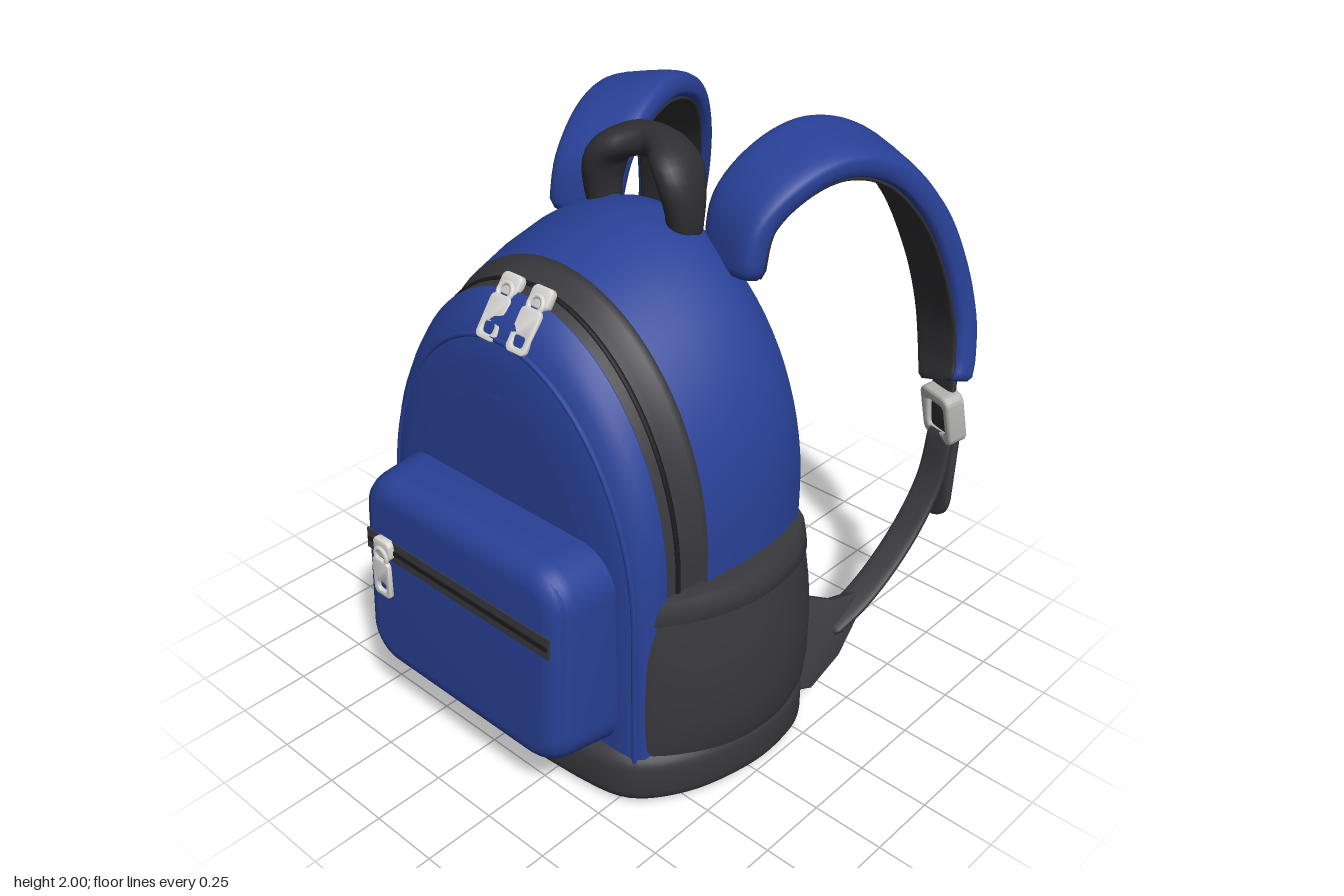
import * as THREE from 'three';
import { mergeVertices, toCreasedNormals } from 'three/addons/utils/BufferGeometryUtils.js';

const material = (name, color) =>
  Object.assign(new THREE.MeshStandardMaterial({ color, side: THREE.DoubleSide }), { name });
const V = (x, y, z) => new THREE.Vector3(x, y, z);

// Skin through rows of points
function skin(rows) {
  const n = rows[0].length, index = [];
  for (let i = 0; i < rows.length - 1; i++)
    for (let j = 0; j < n - 1; j++) {
      const a = i * n + j, c = a + n;
      index.push(a, a + 1, c, a + 1, c + 1, c);
    }
  const g = new THREE.BufferGeometry().setFromPoints(rows.flat());
  g.setIndex(index);
  const merged = mergeVertices(g, 1e-5);
  merged.computeVertexNormals();
  return merged;
}

// Padded band along a path; half width may vary with t, offset moves it along its normal
function band(points, width, thick, { offset = 0, steps = 40, axis = V(1, 0, 0), power = 0.6 } = {}) {
  const path = new THREE.CatmullRomCurve3(points), rows = [];
  const ring = (t, s) => {
    const c = path.getPoint(t), T = path.getTangent(t);
    const side = axis.clone().addScaledVector(T, -axis.dot(T)).normalize();
    const normal = T.clone().cross(side);
    const w = typeof width === 'function' ? width(t) : width;
    const row = [];
    for (let k = 0; k <= 24; k++) {
      const a = (k % 24) / 24 * Math.PI * 2, cs = Math.cos(a), sn = Math.sin(a);
      row.push(c.clone()
        .addScaledVector(side, Math.sign(cs) * Math.abs(cs) ** power * w * s)
        .addScaledVector(normal, offset + Math.sign(sn) * Math.abs(sn) ** power * thick * s));
    }
    return row;
  };
  rows.push(ring(0, 0));
  for (let i = 0; i <= steps; i++) rows.push(ring(i / steps, i === 0 || i === steps ? 0.85 : 1));
  rows.push(ring(1, 0));
  return skin(rows);
}

function roundedRect(w, h, r, Type = THREE.Shape) {
  const s = new Type(), x = w / 2, y = h / 2;
  s.moveTo(-x + r, -y);
  s.absarc(x - r, -y + r, r, -Math.PI / 2, 0);
  s.absarc(x - r, y - r, r, 0, Math.PI / 2);
  s.absarc(-x + r, y - r, r, Math.PI / 2, Math.PI);
  s.absarc(-x + r, -y + r, r, Math.PI, Math.PI * 1.5);
  s.closePath();
  return s;
}

// Extrusion with rounded edges that stays within its outline
const slab = (shape, depth, bevel) => toCreasedNormals(new THREE.ExtrudeGeometry(shape, {
  depth: depth - 2 * bevel, bevelSize: bevel, bevelThickness: bevel, bevelOffset: -bevel,
  bevelSegments: 5, curveSegments: 10 }).translate(0, 0, bevel), 0.6);

// Arch-shaped body section
function arch(z, w, h) {
  const row = [], yc = h - 0.8;
  for (let i = 0; i < 6; i++) row.push(V(w, 0.1 + (yc - 0.1) * i / 6, z));
  for (let i = 0; i <= 40; i++) {
    const a = i / 40 * Math.PI;
    row.push(V(w * Math.cos(a), yc + 0.8 * Math.sin(a), z));
  }
  for (let i = 5; i >= 0; i--) row.push(V(-w, 0.1 + (yc - 0.1) * i / 6, z));
  return row;
}

export function createModel() {
  const model = new THREE.Group();
  model.name = 'backpack';
  const blue = material('blue fabric', 0x294197);
  const charcoal = material('charcoal fabric', 0x38383d);
  const dark = material('dark trim', 0x2e2e31);
  const black = material('zipper teeth', 0x1b1b1d);
  const metal = material('buckle metal', 0xb4b4b2);
  const pale = material('zipper metal', 0xdad8d4);
  const add = (parent, name, geometry, mat, x = 0, y = 0, z = 0) => {
    const m = new THREE.Mesh(geometry, mat);
    m.name = name;
    m.position.set(x, y, z);
    parent.add(m);
    return m;
  };
  const rings = list => skin(list.map(r => arch(...r)));

  // Main body, lofted from back to front
  add(model, 'backPanel', rings([[-0.115, 0, 1.66], [-0.115, 0.57, 1.66]]), blue);
  add(model, 'bodyShell', rings([[-0.115, 0.57, 1.66], [-0.1, 0.6, 1.7], [-0.06, 0.625, 1.74], [0.02, 0.645, 1.765],
    [0.12, 0.655, 1.755], [0.25, 0.65, 1.725], [0.39, 0.63, 1.68]]), blue);
  add(model, 'zipperBand', rings([[0.39, 0.63, 1.68], [0.4, 0.615, 1.655], [0.46, 0.605, 1.645],
    [0.53, 0.592, 1.62]]), charcoal);
  add(model, 'frontShell', rings([[0.53, 0.592, 1.62], [0.54, 0.6, 1.625], [0.58, 0.59, 1.59], [0.615, 0.577, 1.55],
    [0.64, 0.55, 1.49], [0.652, 0.5, 1.42], [0.658, 0.42, 1.32]]), blue);
  add(model, 'frontPanel', rings([[0.658, 0.42, 1.32], [0.66, 0, 1.32]]), blue);
  const archTube = (z, w, h, r) =>
    new THREE.TubeGeometry(new THREE.CatmullRomCurve3(arch(z, w, h)), 120, r, 8);
  add(model, 'zipperTeeth', archTube(0.49, 0.598, 1.633, 0.009), black);
  add(model, 'panelPiping', archTube(0.635, 0.553, 1.502, 0.01), blue);

  // Base
  const half = [[0.35, 0.71], [0.55, 0.66], [0.67, 0.51], [0.735, 0.3], [0.745, 0.14], [0.71, -0.02],
    [0.61, -0.12], [0.3, -0.135]];
  const plan = [...half, ...half.map(([x, z]) => [-x, z]).reverse()]
    .map(([x, z]) => V(x, -z, 0));
  const outline = new THREE.CatmullRomCurve3(plan, true).getPoints(80).slice(0, -1)
    .map(p => new THREE.Vector2(p.x, p.y));
  add(model, 'base', slab(new THREE.Shape(outline), 0.205, 0.06), charcoal).rotation.x = -Math.PI / 2;

  // Zipper pull: slider, ring and tab with a hole
  const zipperPull = (parent, x, y, z, tilt) => {
    const g = new THREE.Group();
    g.name = 'zipperPull';
    add(g, 'slider', slab(roundedRect(0.085, 0.07, 0.02), 0.03, 0.008), pale, 0, 0, -0.015);
    add(g, 'pullRing', new THREE.TorusGeometry(0.028, 0.009, 8, 20), pale, 0, -0.025, 0.015);
    const tab = roundedRect(0.085, 0.145, 0.02);
    const hole = roundedRect(0.044, 0.035, 0.01, THREE.Path);
    tab.holes.push(new THREE.Path(hole.getPoints(6).map(p => p.add(new THREE.Vector2(0, -0.035)))));
    add(g, 'pullTab', slab(tab, 0.016, 0.004), pale, 0, -0.11, 0.008);
    g.position.set(x, y, z);
    g.rotation.x = tilt;
    parent.add(g);
  };
  zipperPull(model, -0.052, 1.63, 0.525, -0.62);
  zipperPull(model, 0.08, 1.63, 0.525, -0.62);

  // Front pocket, tapering towards its face
  const pocket = new THREE.Group();
  pocket.name = 'frontPocket';
  pocket.position.set(0, 0.575, 0.62);
  pocket.rotation.x = -0.05;
  model.add(pocket);
  const bag = slab(roundedRect(1, 0.78, 0.15), 0.365, 0.075);
  const p = bag.attributes.position;
  for (let i = 0; i < p.count; i++) {
    const k = 1 - 0.28 * Math.max(0, p.getZ(i) - 0.12);
    p.setXY(i, p.getX(i) * k, p.getY(i) * k);
  }
  add(pocket, 'pocketBody', bag, blue, 0, 0, -0.105);
  const piping = roundedRect(0.9, 0.68, 0.11).getPoints(10).map(q => V(q.x, q.y, 0.222));
  add(pocket, 'pocketPiping', new THREE.TubeGeometry(new THREE.CatmullRomCurve3(piping.slice(0, -1), true), 120, 0.011, 8), blue);
  add(pocket, 'pocketZipperTape', new THREE.BoxGeometry(0.86, 0.075, 0.009), charcoal, 0, 0.12, 0.26);
  add(pocket, 'pocketZipperTeeth', new THREE.BoxGeometry(0.85, 0.016, 0.008), black, 0, 0.12, 0.264);
  zipperPull(pocket, -0.335, 0.125, 0.27, 0.04);

  // Grab handle, leaning back at the top
  add(model, 'handle', band([V(0.172, 1.69, 0), V(0.175, 1.8, 0.005), V(0.148, 1.89, 0), V(0.08, 1.935, -0.03),
    V(0, 1.945, -0.045), V(-0.08, 1.935, -0.03), V(-0.148, 1.89, 0), V(-0.175, 1.8, 0.005), V(-0.172, 1.69, 0)],
  t => 0.06 + 0.035 * Math.sin(Math.PI * 2 * t) ** 2, 0.055, { axis: V(0, 0, 1), power: 0.95 }), dark);

  // Parts that appear on both sides
  for (const s of [1, -1]) {
    const side = new THREE.Group();
    side.name = s > 0 ? 'leftSide' : 'rightSide';
    side.scale.x = s;
    model.add(side);

    // Side pocket with a rim
    const edge = new THREE.CatmullRomCurve3([[0.54, 0.63], [0.59, 0.605], [0.67, 0.51], [0.74, 0.37], [0.77, 0.2],
      [0.745, 0.03], [0.68, -0.08], [0.61, -0.112]].map(([x, z]) => V(x, 0, z))).getPoints(40);
    const row = ([y, k]) => edge.map(q => V(q.x * k, y + (0.6 - q.z) * 0.04 * y, q.z));
    add(side, 'sidePocket', skin([[0.17, 0.96], [0.22, 0.985], [0.32, 1], [0.45, 1], [0.58, 0.985],
      [0.71, 0.95]].map(row)), charcoal);
    add(side, 'sidePocketRim', skin([[0.705, 0.94], [0.71, 0.963], [0.75, 0.952], [0.785, 0.938], [0.795, 0.922],
      [0.793, 0.8]].map(row)), charcoal);

    // Padded shoulder strap with a dark lining, turned outwards
    const strap = [[0.325, 1.6, -0.05], [0.325, 1.78, -0.1], [0.36, 1.89, -0.23], [0.405, 1.93, -0.4],
      [0.46, 1.87, -0.58], [0.53, 1.71, -0.715], [0.59, 1.5, -0.795], [0.635, 1.3, -0.825],
      [0.67, 1.15, -0.805], [0.695, 1.06, -0.77]].map(q => V(...q));
    const width = t => 0.125 - 0.03 * t + 0.04 * Math.sin(Math.PI * t);
    const axis = V(1, -0.2, 0.32);
    add(side, 'shoulderStrap', band(strap, width, 0.052, { steps: 60, axis }), blue);
    add(side, 'strapLining', band(strap, t => width(t) - 0.022, 0.01, { steps: 60, offset: 0.048, axis }), dark);

    // Buckle and webbing
    const frame = roundedRect(0.16, 0.2, 0.035);
    frame.holes.push(roundedRect(0.095, 0.11, 0.015, THREE.Path));
    const buckle = add(side, 'buckle', slab(frame, 0.075, 0.012), metal, 0.725, 0.95, -0.79);
    buckle.rotation.set(0.2, -0.35, 0.1);
    add(side, 'buckleWebbing', band([V(0.69, 1.1, -0.775), V(0.71, 0.98, -0.75), V(0.72, 0.85, -0.755)],
      0.058, 0.014, { axis: V(1, 0, 0.37) }), dark);
    add(side, 'webbingTail', band([V(0.72, 0.88, -0.77), V(0.73, 0.7, -0.745), V(0.735, 0.55, -0.73)],
      t => 0.072 * Math.sqrt(1 - Math.max(0, (t - 0.7) / 0.31) ** 2), 0.02, { axis: V(1, 0, 0.4) }), charcoal);
    add(side, 'lowerWebbing', band([V(0.72, 0.88, -0.74), V(0.72, 0.7, -0.7), V(0.71, 0.55, -0.61),
      V(0.695, 0.42, -0.48), V(0.675, 0.33, -0.36), V(0.65, 0.27, -0.24)], 0.052, 0.014,
    { axis: V(1, -0.2, 0.15) }), charcoal);

    // Anchor tab at the lower back corner, its top edge leaning inwards
    const tab = new THREE.Shape([[0.04, 0.49], [0.09, 0.46], [0.26, 0.375], [0.4, 0.36], [0.37, 0.3], [0.24, 0.175],
      [0.1, 0.105], [0.04, 0.12]].map(q => new THREE.Vector2(...q)));
    const anchor = add(side, 'anchorTab', slab(tab, 0.045, 0.01), charcoal, 0.68, 0, 0);
    anchor.rotation.set(-0.35, Math.PI / 2 - 0.22, 0, 'YXZ');
  }
  return model;
}
